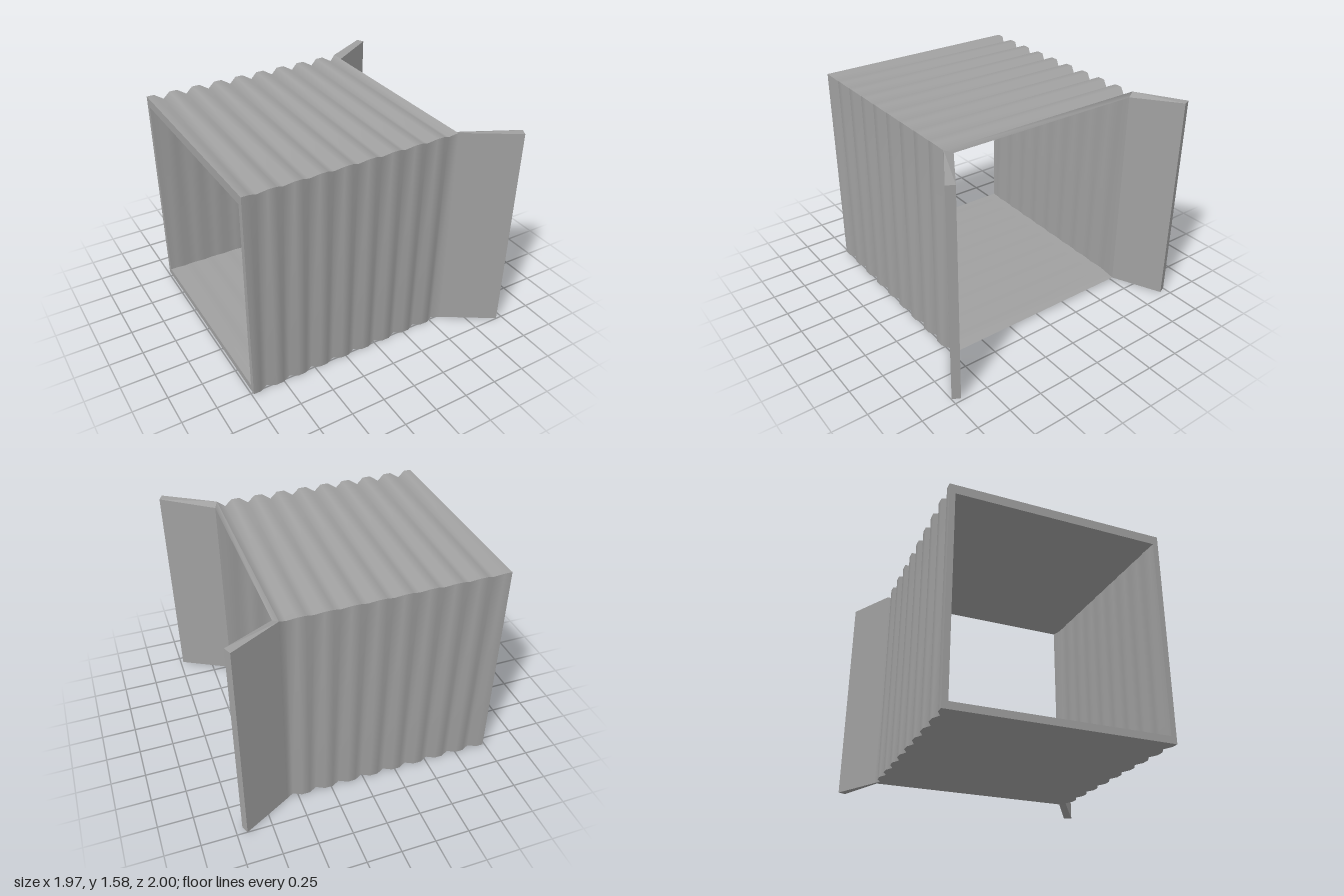
import * as THREE from 'three';
import { toCreasedNormals } from 'three/addons/utils/BufferGeometryUtils.js';
import { ConvexGeometry } from 'three/addons/geometries/ConvexGeometry.js';

const TOP = 1.577, BACK = -0.81, FRONT = 0.765;
const REAR = -0.985, MOUTH = 0.585, NOSE = 0.612;
const material = new THREE.MeshStandardMaterial({ color: 0xa0a0a0 });

// Rectangular section of the tunnel at one x position
const section = (x, y0, y1, z0, z1) =>
  [[z0, y0], [z1, y0], [z1, y1], [z0, y1]].map(([z, y]) => [x, y, z]);

// Positions along the corrugation: nine V-shaped valleys between flat crests
function stations() {
  const list = [[REAR, 0]];
  for (let k = 0; k < 9; k++) {
    const x = -0.872 + k * 0.1755;
    list.push([x - 0.0585, 0], [x, 1]);
    if (k < 8) list.push([x + 0.0585, 0]);
  }
  return list;
}

// Inner section: floor and ceiling thin out slightly towards the mouth
function innerSection([x, valley]) {
  const t = (x - REAR) / (MOUTH - REAR);
  return section(x,
    0.05 - 0.022 * t + 0.005 * valley,
    TOP - 0.068 + 0.038 * t - 0.01 * valley,
    BACK + 0.042 + 0.012 * valley,
    FRONT - 0.04 - 0.013 * valley);
}

// Box tunnel: outer skin forwards, bevelled mouth, inner skin backwards, rear rim
function tunnelGeometry() {
  const outer = stations().map(([x, valley]) => {
    const dip = 0.031 * valley;
    return section(x, 0, TOP - dip, BACK + dip, FRONT - dip);
  });
  const mouth = section(MOUTH, 0, TOP, BACK, FRONT);
  const nose = section(NOSE, 0.022, TOP - 0.022, BACK + 0.055, FRONT - 0.053);
  const loop = [...outer, mouth, nose, ...stations().reverse().map(innerSection)];
  const positions = [];
  loop.forEach((a, i) => {
    const b = loop[(i + 1) % loop.length];
    for (let j = 0; j < 4; j++) {
      const k = (j + 1) % 4;
      positions.push(...a[j], ...b[j], ...b[k], ...a[j], ...b[k], ...a[k]);
    }
  });
  const geometry = new THREE.BufferGeometry();
  geometry.setAttribute('position', new THREE.Float32BufferAttribute(positions, 3));
  return toCreasedNormals(geometry, 1.05);
}

// Splayed wing wall from plan corners [x, z, inset at top and bottom]
function wingGeometry(corners) {
  const points = corners.flatMap(([x, z, inset]) => [
    new THREE.Vector3(x, inset, z),
    new THREE.Vector3(x, TOP - inset, z),
  ]);
  return new ConvexGeometry(points);
}

export function createModel() {
  const group = new THREE.Group();
  group.name = 'boxCulvert';
  const add = (name, geometry) => {
    const mesh = new THREE.Mesh(geometry, material);
    mesh.name = name;
    group.add(mesh);
  };

  add('corrugatedTunnel', tunnelGeometry());

  // Wing walls flare out on both sides of the mouth
  add('frontWingWall', wingGeometry([
    [MOUTH, FRONT, 0], [NOSE, FRONT - 0.053, 0.022], [0.98, 0.943, 0], [0.952, 0.998, 0],
  ]));
  add('backWingWall', wingGeometry([
    [MOUTH, BACK, 0], [NOSE, BACK + 0.055, 0.022], [0.95, -0.945, 0], [0.927, -1, 0],
  ]));
  return group;
}
